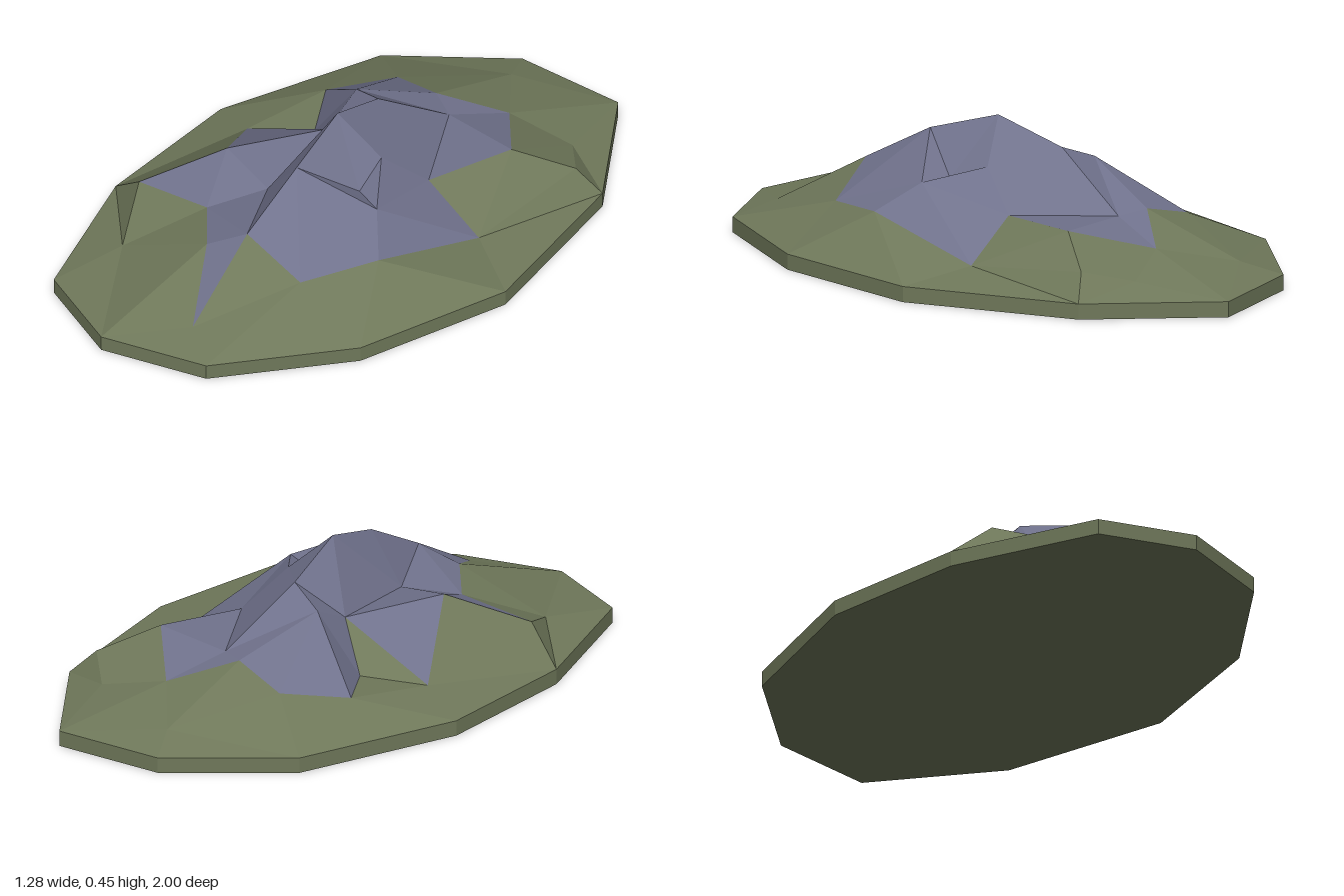
import * as THREE from 'three';

const grass = new THREE.MeshStandardMaterial({ color: 0x6f785a });
grass.name = 'mossGreen';
const rock = new THREE.MeshStandardMaterial({ color: 0x70728c });
rock.name = 'slateBlue';

const BASE = 0.05;       // height of the slab edge
const ROCK_LINE = 0.178; // facets with a mean height above this are bare rock

// outline of the slab, as x, z
const rim = [
  [0.03, 1], [0.35, 0.84], [0.58, 0.41], [0.64, -0.12], [0.44, -0.67], [0.11, -1],
  [-0.25, -0.91], [-0.54, -0.58], [-0.64, -0.02], [-0.54, 0.48], [-0.29, 0.93],
];

// summit, ridges and gullies, as x, y, z
const upper = [
  [0.01, 0.45, 0.04], [0.08, 0.385, 0.26], [0.12, 0.26, 0.49], [0.14, 0.32, -0.03],
  [0.18, 0.27, 0.09], [0.29, 0.275, 0.11], [0.2, 0.2, -0.17], [0.25, 0.21, -0.46],
  [-0.05, 0.37, -0.17], [-0.12, 0.21, -0.46], [-0.18, 0.32, -0.19], [-0.15, 0.25, -0.05],
  [-0.25, 0.27, 0.27], [-0.05, 0.23, 0.27],
];

// shoulders and foothills, as x, y, z
const lower = [
  [-0.14, 0.185, 0.44], [0.02, 0.2, 0.57], [0.21, 0.09, 0.78], [0.32, 0.165, 0.44],
  [0.41, 0.19, 0.2], [0.41, 0.085, -0.2], [0.37, 0.13, -0.62], [0.23, 0.09, -0.72],
  [0.03, 0.14, -0.63], [-0.02, 0.2, -0.43], [-0.17, 0.09, -0.8], [-0.31, 0.16, -0.46],
  [-0.43, 0.13, -0.27], [-0.3, 0.12, -0.12], [-0.46, 0.1, 0.02], [-0.4, 0.16, 0.5],
  [-0.26, 0.08, 0.68],
];

// Delaunay triangulation in plan: keep triples whose circumcircle is empty
function triangulate(pts) {
  const faces = [];
  const n = pts.length;
  for (let i = 0; i < n; i++) for (let j = i + 1; j < n; j++) for (let k = j + 1; k < n; k++) {
    const [a, b, c] = [pts[i], pts[j], pts[k]];
    const bx = b.x - a.x, bz = b.z - a.z, cx = c.x - a.x, cz = c.z - a.z;
    const d = 2 * (bx * cz - bz * cx);
    if (Math.abs(d) < 1e-6) continue;
    const b2 = bx * bx + bz * bz, c2 = cx * cx + cz * cz;
    const ux = (cz * b2 - bz * c2) / d, uz = (bx * c2 - cx * b2) / d;
    const r2 = ux * ux + uz * uz;
    const empty = pts.every((p, m) => m === i || m === j || m === k ||
      (p.x - a.x - ux) ** 2 + (p.z - a.z - uz) ** 2 > r2 - 1e-9);
    if (empty) faces.push(d < 0 ? [a, b, c] : [a, c, b]); // wound to face up
  }
  return faces;
}

function facetMesh(name, faces, material) {
  const geo = new THREE.BufferGeometry().setFromPoints(faces.flat());
  geo.computeVertexNormals(); // unshared corners give flat facets
  const mesh = new THREE.Mesh(geo, material);
  mesh.name = name;
  return mesh;
}

export function createModel() {
  const group = new THREE.Group();
  group.name = 'mountain';

  // thin slab under the hill
  const outline = new THREE.Shape(rim.map(([x, z]) => new THREE.Vector2(x, -z)));
  const slabGeo = new THREE.ExtrudeGeometry(outline, { depth: BASE, bevelEnabled: false });
  slabGeo.rotateX(-Math.PI / 2);
  const slab = new THREE.Mesh(slabGeo, grass);
  slab.name = 'baseSlab';
  group.add(slab);

  // faceted hill, split into grassy slopes and bare rock
  const pts = [
    ...rim.map(([x, z]) => new THREE.Vector3(x, BASE, z)),
    ...[...upper, ...lower].map((p) => new THREE.Vector3(...p)),
  ];
  const faces = triangulate(pts);
  const isRock = ([a, b, c]) => (a.y + b.y + c.y) / 3 > ROCK_LINE;
  group.add(facetMesh('grassSlopes', faces.filter((f) => !isRock(f)), grass));
  group.add(facetMesh('rockyPeak', faces.filter(isRock), rock));
  return group;
}
